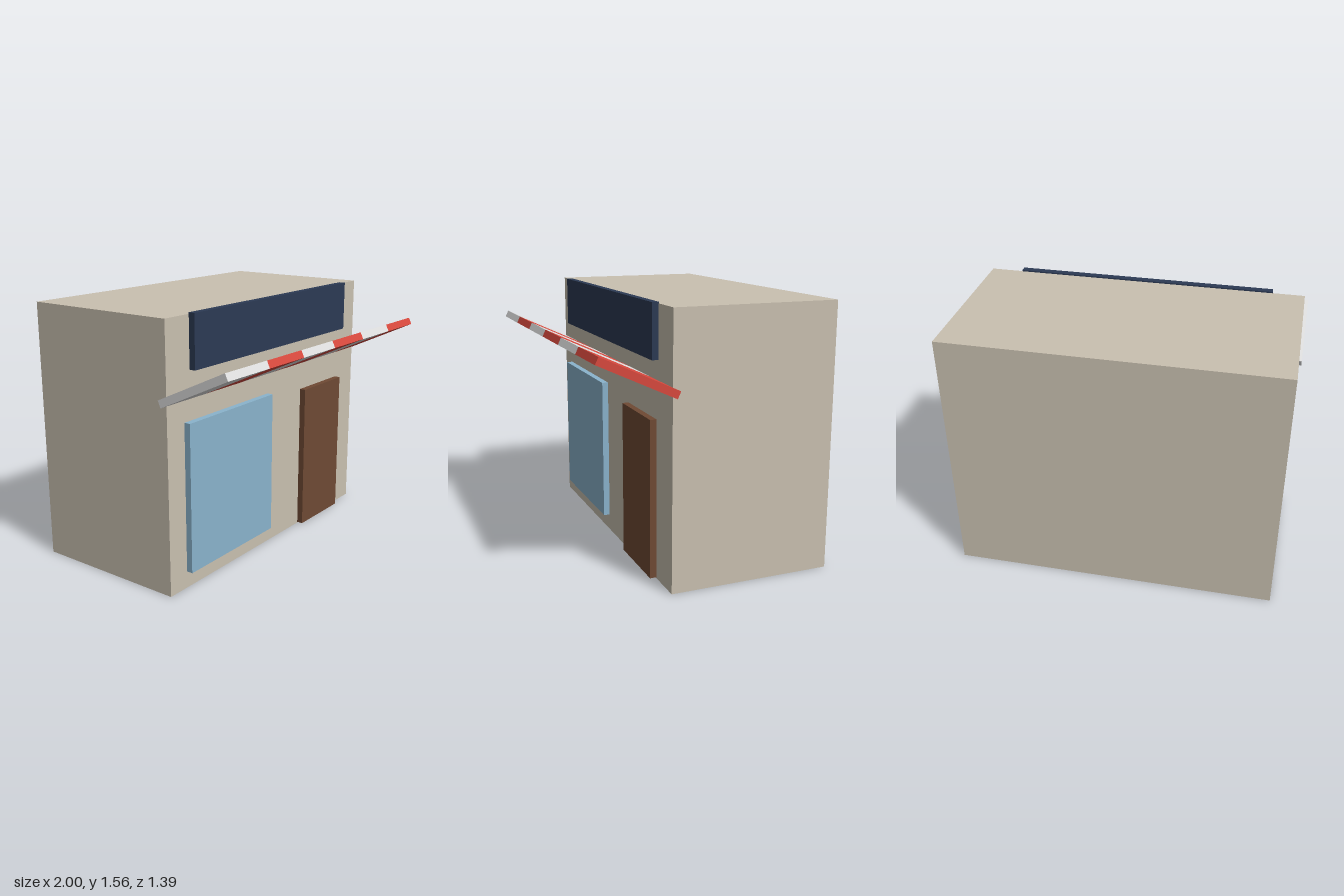
import * as THREE from 'three';

const paint = (name, color) => {
  const m = new THREE.MeshStandardMaterial({ color });
  m.name = name;
  return m;
};

export function createModel() {
  const group = new THREE.Group();
  group.name = 'shop';
  const stone = paint('beige wall', 0xc9c0b0);
  const navy = paint('navy', 0x2c3a54);
  const glass = paint('pale blue glass', 0x8ab3cc);
  const wood = paint('brown wood', 0x6f4a34);
  const red = paint('red stripe', 0xd8493e);
  const white = paint('white stripe', 0xe0e0e0);

  // Box given by its minimum and maximum along each axis
  const box = (name, material, [x0, x1], [y0, y1], [z0, z1], parent = group) => {
    const mesh = new THREE.Mesh(new THREE.BoxGeometry(x1 - x0, y1 - y0, z1 - z0), material);
    mesh.position.set((x0 + x1) / 2, (y0 + y1) / 2, (z0 + z1) / 2);
    mesh.name = name;
    parent.add(mesh);
  };

  // Building and the panels fixed to its front
  const panelDepth = [0.27, 0.31];
  box('building', stone, [-0.97, 0.97], [0, 1.555], [-0.697, 0.272]);
  box('signBoard', navy, [-0.78, 0.777], [1.257, 1.563], panelDepth);
  box('window', glass, [-0.83, -0.053], [0.1, 0.975], panelDepth);
  box('door', wood, [0.315, 0.75], [0.005, 0.927], panelDepth);

  // Striped awning, its outer edge tilted up
  const awning = new THREE.Group();
  awning.name = 'awning';
  awning.position.set(0, 1.2135, 0.468);
  awning.rotation.x = -0.44;
  group.add(awning);
  const edges = [-1, -0.647, -0.321, 0.008, 0.34, 0.671, 1];
  for (let i = 0; i < 6; i++) {
    box(`awningStripe${i + 1}`, i % 2 ? red : white,
      [edges[i], edges[i + 1]], [-0.022, 0.022], [-0.243, 0.243], awning);
  }
  return group;
}
